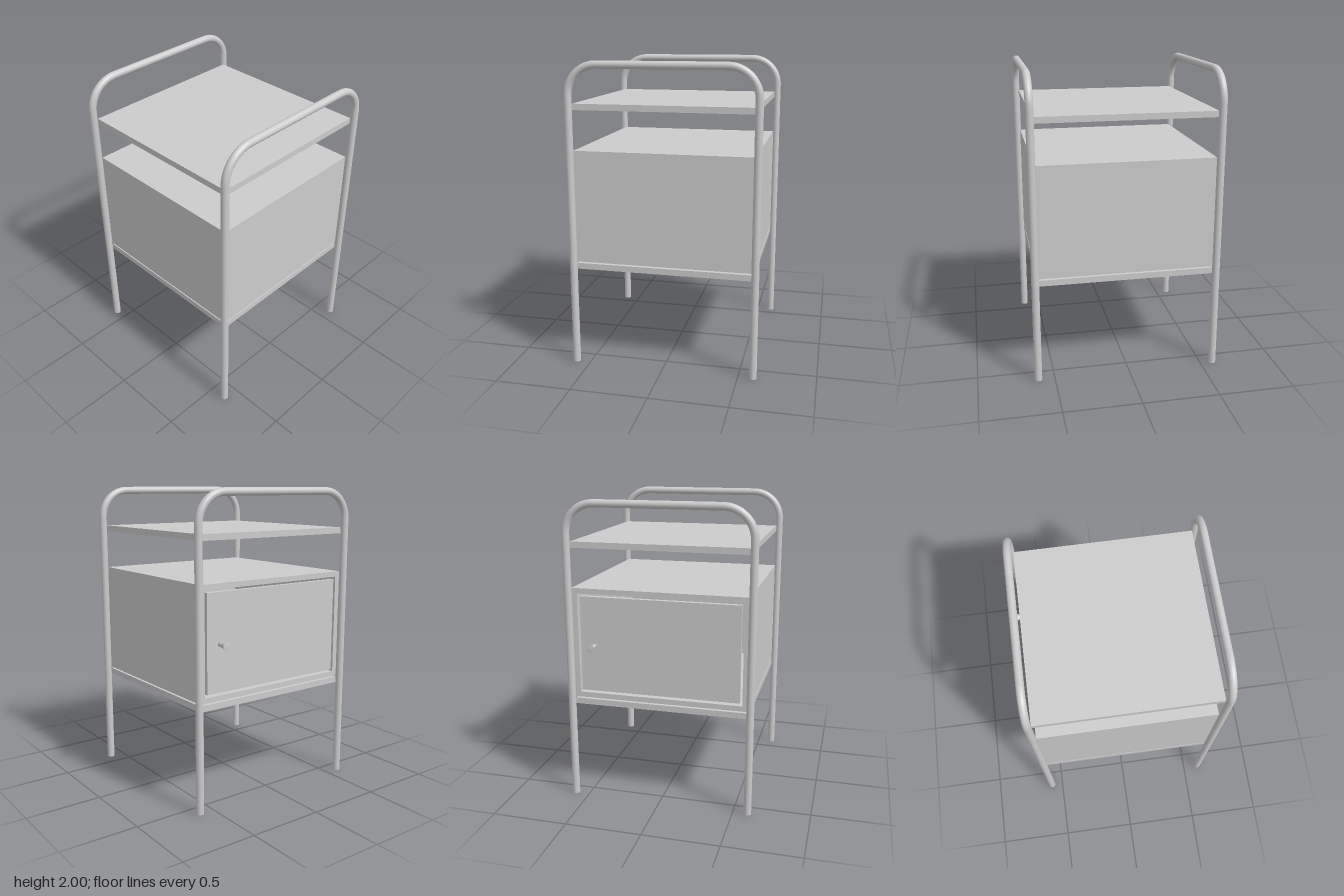
import * as THREE from 'three';

const CX = 0.0125;   // middle of the frame (the knob offsets the overall centre)
const HALF = 0.578;  // half width of shelves and cabinet
const LEG = 0.597;   // leg distance from the middle
const TUBE = 0.025;

export function createModel() {
  const group = new THREE.Group();
  const mat = new THREE.MeshStandardMaterial({ color: 0xcccccc });

  const add = (name, geo, x = 0, y = 0, z = 0, parent = group) => {
    const mesh = new THREE.Mesh(geo, mat);
    mesh.name = name;
    mesh.position.set(x, y, z);
    parent.add(mesh);
    return mesh;
  };
  // Box given by its lower and upper corners
  const box = (name, a, b, parent) => add(name,
    new THREE.BoxGeometry(b[0] - a[0], b[1] - a[1], b[2] - a[2]),
    (a[0] + b[0]) / 2, (a[1] + b[1]) / 2, (a[2] + b[2]) / 2, parent);

  // Bent tube side frames: two legs joined by a rounded handle
  const top = 2 - TUBE, bend = 0.19, bendY = top - bend, bendZ = LEG - bend;
  const points = [new THREE.Vector3(0, 0, LEG)];
  const steps = 14;
  for (const side of [0, 1]) {
    for (let i = 0; i <= steps; i++) {
      const a = (side + i / steps) * Math.PI / 2;
      points.push(new THREE.Vector3(0,
        bendY + bend * Math.sin(a), (side ? -bendZ : bendZ) + bend * Math.cos(a)));
    }
  }
  points.push(new THREE.Vector3(0, 0, -LEG));
  const path = new THREE.CurvePath();
  for (let i = 1; i < points.length; i++) path.add(new THREE.LineCurve3(points[i - 1], points[i]));
  const frameGeo = new THREE.TubeGeometry(path, 240, TUBE, 24);
  const capGeo = new THREE.CircleGeometry(TUBE, 24).rotateX(Math.PI / 2);
  for (const s of [-1, 1]) {
    const frame = new THREE.Group();
    frame.name = s < 0 ? 'rightFrame' : 'leftFrame';
    frame.position.x = CX + s * 0.5955;
    group.add(frame);
    add('tube', frameGeo, 0, 0, 0, frame);
    for (const z of [-LEG, LEG]) add('footCap', capGeo, 0, 0, z, frame);
  }

  // Shelves
  const x0 = CX - HALF, x1 = CX + HALF;
  box('topShelf', [x0, 1.693, -HALF], [x1, 1.733, HALF]);
  box('bottomShelf', [x0, 0.65, -HALF], [x1, 0.69, HALF]);

  // Hollow cabinet, open on the door side
  const y0 = 0.7, y1 = 1.436, wall = 0.035;
  const cabinet = new THREE.Group();
  cabinet.name = 'cabinet';
  group.add(cabinet);
  const rect = (C, w, h) => new C([[-w, -h], [w, -h], [w, h], [-w, h]].map(p => new THREE.Vector2(...p)));
  const h = (y1 - y0) / 2, yc = (y0 + y1) / 2;
  const shell = rect(THREE.Shape, HALF, h);
  shell.holes.push(rect(THREE.Path, HALF - wall, h - wall));
  const shellGeo = new THREE.ExtrudeGeometry(shell, { depth: 2 * HALF, bevelEnabled: false });
  shellGeo.rotateY(Math.PI / 2);
  add('shell', shellGeo, x0, yc, 0, cabinet);
  box('closedSide', [x1 - wall, y0 + wall, wall - HALF], [x1, y1 - wall, HALF - wall], cabinet);

  // Inset door with a narrow gap all round
  const inset = wall + 0.017;
  box('door', [x0, y0 + inset, inset - HALF], [x0 + 0.03, y1 - inset, HALF - inset], cabinet);

  // Flared knob
  const knobGeo = new THREE.LatheGeometry(
    [[0, 0], [0.014, 0], [0.014, 0.035], [0.026, 0.073], [0.026, 0.073], [0, 0.075]]
      .map(p => new THREE.Vector2(...p)), 24);
  knobGeo.rotateZ(Math.PI / 2);
  add('knob', knobGeo, x0, 1.06, -0.433);

  return group;
}
